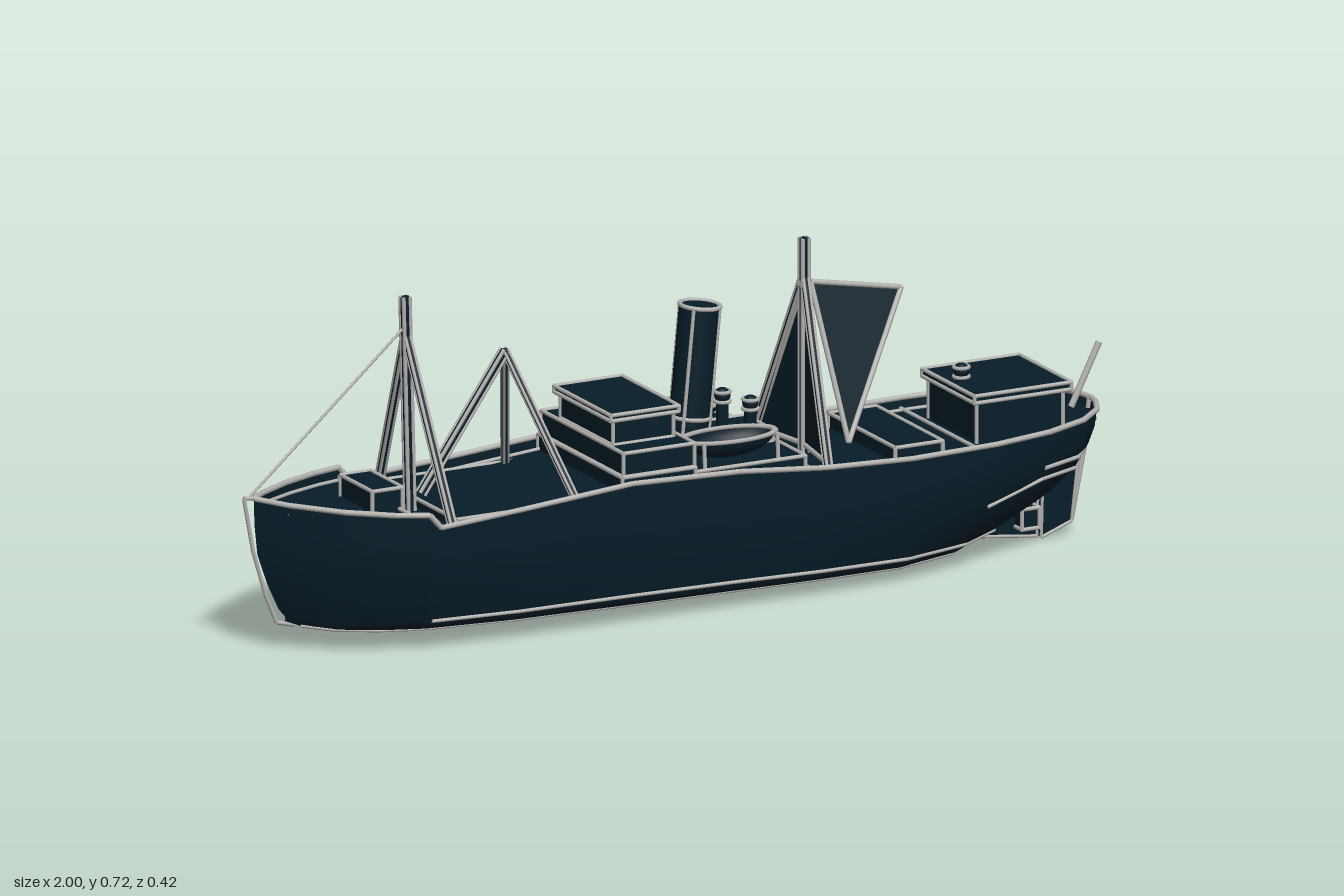
import * as THREE from 'three';

const navy = new THREE.MeshStandardMaterial({ color: 0x071d29, side: THREE.DoubleSide });
navy.name = 'navy paint';
const grey = new THREE.MeshStandardMaterial({ color: 0xb4b3b0 });
grey.name = 'grey trim';

const V = (x, y, z) => new THREE.Vector3(x, y, z);
const lerp = THREE.MathUtils.lerp;

function add(parent, name, geometry, material) {
  const m = new THREE.Mesh(geometry, material);
  m.name = name;
  parent.add(m);
  return m;
}

// Straight round bar between two points
function rod(parent, name, a, b, r = 0.0045, mat = grey, sides = 8) {
  const m = add(parent, name, new THREE.CylinderGeometry(r, r, a.distanceTo(b), sides), mat);
  m.position.copy(a).lerp(b, 0.5);
  m.quaternion.setFromUnitVectors(V(0, 1, 0), b.clone().sub(a).normalize());
  return m;
}

function trim(parent, name, pts, r = 0.0045) {
  const g = new THREE.Group();
  g.name = name;
  for (let i = 1; i < pts.length; i++) rod(g, name, pts[i - 1], pts[i], r);
  parent.add(g);
}

// Navy spar with grey battens along it
function spar(parent, name, a, b, r) {
  const g = new THREE.Group();
  g.name = name;
  rod(g, name + 'Core', a, b, r, navy, 12);
  const q = new THREE.Quaternion().setFromUnitVectors(V(0, 1, 0), b.clone().sub(a).normalize());
  for (let i = 0; i < 4; i++) {
    const t = (i + 0.5) * Math.PI / 2;
    const o = V(Math.cos(t) * r, 0, Math.sin(t) * r).applyQuaternion(q);
    rod(g, name + 'Batten', a.clone().add(o), b.clone().add(o), r * 0.45);
  }
  parent.add(g);
}

// Box with trimmed edges
function framedBox(parent, name, x0, x1, y0, y1, hz, r = 0.0045) {
  const g = new THREE.Group();
  g.name = name;
  add(g, name + 'Body', new THREE.BoxGeometry(x1 - x0, y1 - y0, hz * 2), navy)
    .position.set((x0 + x1) / 2, (y0 + y1) / 2, 0);
  for (const y of [y0, y1])
    trim(g, name + 'Edge', [V(x0, y, hz), V(x1, y, hz), V(x1, y, -hz), V(x0, y, -hz), V(x0, y, hz)], r);
  for (const x of [x0, x1]) for (const z of [-hz, hz]) rod(g, name + 'Corner', V(x, y0, z), V(x, y1, z), r);
  parent.add(g);
}

// Thin triangular panel with bars along its edges
function panel(parent, name, a, b, c) {
  const geo = new THREE.BufferGeometry().setFromPoints([a, b, c]);
  geo.computeVertexNormals();
  add(parent, name, geo, navy);
  trim(parent, name + 'Edge', [a, b, c, a], 0.006);
}

// Flat plate in the centre plane with a trimmed outline
function plate(parent, name, pts, depth) {
  const shape = new THREE.Shape(pts.map(p => new THREE.Vector2(...p)));
  add(parent, name, new THREE.ExtrudeGeometry(shape, { depth, bevelEnabled: false }), navy).position.z = -depth / 2;
  for (const z of [-depth / 2, depth / 2])
    trim(parent, name + 'Edge', [...pts, pts[0]].map(p => V(p[0], p[1], z)), 0.0035);
}

// Round ventilator with ringed head
function ventilator(parent, x, y0, y1) {
  const g = new THREE.Group();
  g.name = 'ventilator';
  rod(g, 'ventPipe', V(x, y0, 0), V(x, y1, 0), 0.013, navy, 12);
  add(g, 'ventHead', new THREE.SphereGeometry(0.017, 12, 8), navy).position.set(x, y1, 0);
  for (const dy of [-0.012, 0.008]) {
    const ring = add(g, 'ventRing', new THREE.TorusGeometry(0.016, 0.004, 6, 16), grey);
    ring.position.set(x, y1 + dy, 0);
    ring.rotation.x = Math.PI / 2;
  }
  parent.add(g);
}

// Hull stations: top x, bottom x, top half width, bottom half width, bottom y, top y
const stations = [
  [-0.972, -0.9, 0.003, 0.003, 0.06, 0.332],
  [-0.92, -0.875, 0.055, 0.025, 0.052, 0.324],
  [-0.83, -0.82, 0.125, 0.075, 0.047, 0.315],
  [-0.74, -0.74, 0.175, 0.12, 0.045, 0.309],
  [-0.67, -0.67, 0.2, 0.145, 0.044, 0.306],
  [-0.645, -0.645, 0.202, 0.15, 0.043, 0.277],
  [-0.45, -0.45, 0.2, 0.17, 0.04, 0.29],
  [-0.2, -0.2, 0.2, 0.175, 0.037, 0.31],
  [0.05, 0.05, 0.2, 0.175, 0.034, 0.302],
  [0.25, 0.25, 0.2, 0.175, 0.031, 0.283],
  [0.45, 0.45, 0.2, 0.165, 0.028, 0.275],
  [0.65, 0.6, 0.197, 0.11, 0.026, 0.278],
  [0.78, 0.69, 0.18, 0.045, 0.03, 0.282],
  [0.88, 0.76, 0.14, 0.015, 0.05, 0.284],
  [0.94, 0.81, 0.085, 0.01, 0.12, 0.285],
  [0.965, 0.84, 0.03, 0.006, 0.17, 0.285],
  [0.97, 0.85, 0.001, 0.001, 0.18, 0.285],
];
// Half section from sheer to bilge: blend of widths, height fraction
const rows = [[1, 1], [0.97, 0.78], [0.88, 0.55], [0.55, 0.3], [0.2, 0.1], [-0.02, 0.03]];
const sidePoint = ([xt, xb, wt, wb, yb, yt], [f, h], s = 1, out = 0) =>
  V(lerp(xb, xt, f), lerp(yb, yt, h), s * (lerp(wb, wt, f) + out));

// Point on a station's side at a given height
function pointAt(st, y, s) {
  const pts = rows.map(r => sidePoint(st, r, s, 0.002));
  const i = pts.findIndex((p, k) => k > 0 && p.y <= y);
  if (i < 0) return pts[rows.length - 1];
  return pts[i].clone().lerp(pts[i - 1], (y - pts[i].y) / (pts[i - 1].y - pts[i].y));
}

function loft(sections) {
  const n = sections[0].length, index = [];
  for (let i = 0; i + 1 < sections.length; i++)
    for (let j = 0; j + 1 < n; j++) {
      const a = i * n + j, b = a + n;
      index.push(a, a + 1, b, b, a + 1, b + 1);
    }
  const geo = new THREE.BufferGeometry().setFromPoints(sections.flat());
  geo.setIndex(index);
  geo.computeVertexNormals();
  return geo;
}

function buildHull(ship) {
  const hull = new THREE.Group();
  hull.name = 'hull';
  ship.add(hull);
  add(hull, 'hullShell', loft(stations.map(s => {
    const left = rows.map(r => sidePoint(s, r));
    const right = rows.map(r => sidePoint(s, r, -1)).reverse();
    const floor = [0.88, 0, -0.88].map(k => V(s[1], s[4], k * s[3]));
    return [...left, ...floor, ...right];
  })), navy);
  add(hull, 'deck', loft(stations.map(s =>
    [-1, 1].map(k => V(s[0], s[5] - 0.022, k * s[2] * 0.99)))), navy);

  // Rails, bilge and stern lines on both sides
  for (const s of [-1, 1]) {
    trim(hull, 'rail', stations.map(p => sidePoint(p, rows[0], s, 0.001)), 0.006);
    trim(hull, 'deckEdge', stations.slice(1, 15).map(p => V(p[0], p[5] - 0.02, s * p[2] * 0.9)), 0.004);
    trim(hull, 'bilgeLine', stations.slice(5, 13).map(p => sidePoint(p, rows[4], s, 0.001)), 0.004);
    trim(hull, 'keelEdge', stations.slice(1, 12).map(p => V(p[1], p[4], s * p[3] * 0.88)), 0.0035);
    trim(hull, 'sternKnuckle', stations.slice(12).map(p => pointAt(p, 0.204, s)));
    trim(hull, 'counterLine', [pointAt(stations[11], 0.14, s), ...stations.slice(12).map(p => pointAt(p, 0.18, s))], 0.004);
  }
  // Deck breaks
  for (const [x, y, w] of [[-0.672, 0.287, 0.195], [-0.645, 0.262, 0.195], [0.25, 0.264, 0.195], [0.63, 0.258, 0.19]])
    rod(hull, 'deckBreak', V(x, y, -w), V(x, y, w));
  // Stem bar standing just ahead of the bow
  trim(hull, 'stemBar', [V(-0.88, 0.05, 0), V(-0.92, 0.06, 0), V(-0.945, 0.12, 0), V(-0.975, 0.22, 0), V(-0.996, 0.335, 0), V(-0.965, 0.332, 0)]);
  // Stern frame, deadwood and rudder
  trim(hull, 'sternFrame', [V(0.925, 0.03, 0), V(0.955, 0.18, 0), V(0.968, 0.285, 0)], 0.006);
  plate(hull, 'deadwood', [[0.66, 0.03], [0.84, 0.008], [0.845, 0.19], [0.7, 0.15]], 0.02);
  plate(hull, 'rudder', [[0.85, 0.004], [0.92, 0.03], [0.94, 0.2], [0.855, 0.2]], 0.022);
  framedBox(hull, 'propellerBlock', 0.79, 0.83, 0.035, 0.078, 0.04);
}

function buildMasts(ship) {
  // Foremast and forestay
  spar(ship, 'foremast', V(-0.61, 0.25, 0), V(-0.622, 0.716, 0), 0.01);
  rod(ship, 'forestay', V(-0.985, 0.335, 0), V(-0.625, 0.65, 0), 0.003);
  // Cargo derrick
  const tip = V(-0.39, 0.57, 0);
  spar(ship, 'derrickBoom', V(-0.585, 0.29, 0), tip, 0.009);
  // Mainmast with plated frame and boom panel
  spar(ship, 'mainmast', V(0.305, 0.25, 0), V(0.305, 0.716, 0), 0.01);
  panel(ship, 'boomPanel', V(0.32, 0.62, 0), V(0.53, 0.58, 0), V(0.35, 0.3, 0.11));
  for (const s of [-1, 1]) {
    spar(ship, 'foremastLeg', V(-0.598, 0.26, s * 0.165), V(-0.62, 0.635, 0), 0.008);
    spar(ship, 'derrickLeg', V(-0.305, 0.27, s * 0.16), tip, 0.007);
    spar(ship, 'mainmastLeg', V(0.275, 0.26, s * 0.165), V(0.305, 0.635, 0), 0.008);
    panel(ship, 'mastPlate', V(0.305, 0.62, 0), V(0.28, 0.275, s * 0.155), V(0.305, 0.275, 0));
  }
  rod(ship, 'flagstaff', V(0.925, 0.27, 0), V(0.99, 0.4, 0), 0.007);
}

function buildUpperworks(ship) {
  framedBox(ship, 'windlass', -0.735, -0.665, 0.28, 0.332, 0.07);
  framedBox(ship, 'foreHatch', -0.59, -0.27, 0.24, 0.277, 0.165);
  // Bridge tiers
  framedBox(ship, 'bridgeDeck', -0.215, -0.045, 0.27, 0.32, 0.185);
  framedBox(ship, 'lowerBridge', -0.21, -0.045, 0.32, 0.37, 0.18);
  framedBox(ship, 'upperBridge', -0.2, -0.06, 0.37, 0.425, 0.115);
  framedBox(ship, 'bridgeRoof', -0.21, -0.052, 0.425, 0.437, 0.125);
  // Boat deck and engine casing
  framedBox(ship, 'boatDeck', -0.045, 0.21, 0.27, 0.31, 0.185);
  framedBox(ship, 'engineCasing', -0.03, 0.2, 0.31, 0.335, 0.06);
  // Funnel
  const base = V(0.035, 0.32, 0), top = V(0.063, 0.605, 0);
  const funnel = new THREE.Group();
  funnel.name = 'funnel';
  ship.add(funnel);
  rod(funnel, 'funnelBody', base, top, 0.043, navy, 24);
  for (const t of [0.18, 1]) {
    const ring = add(funnel, 'funnelRing', new THREE.TorusGeometry(0.042, 0.005, 8, 24), grey);
    ring.position.copy(base).lerp(top, t);
    ring.quaternion.setFromUnitVectors(V(0, 0, 1), top.clone().sub(base).normalize());
  }
  for (const a of [0.25, 0.75, 1.25, 1.75]) {
    const o = V(Math.cos(a * Math.PI) * 0.043, 0, Math.sin(a * Math.PI) * 0.043);
    rod(funnel, 'funnelSeam', base.clone().add(o), top.clone().add(o), 0.004);
  }
  ventilator(ship, 0.115, 0.31, 0.405);
  ventilator(ship, 0.18, 0.31, 0.38);
  // Lifeboats with rims and davits
  for (const s of [-1, 1]) {
    const boat = new THREE.Group();
    boat.name = 'lifeboat';
    boat.position.set(0.065, 0.358, s * 0.12);
    ship.add(boat);
    add(boat, 'boatHull', new THREE.SphereGeometry(1, 24, 8, 0, Math.PI * 2, Math.PI / 2, Math.PI / 2), navy).scale.set(0.105, 0.045, 0.052);
    const rim = add(boat, 'boatRim', new THREE.TorusGeometry(1, 0.08, 6, 32), grey);
    rim.rotation.x = Math.PI / 2;
    rim.scale.set(0.105, 0.052, 0.06);
    for (const x of [-0.02, 0.15]) rod(ship, 'davit', V(x, 0.3, s * 0.18), V(x, 0.365, s * 0.175));
  }
  // Aft hatch and stern house
  framedBox(ship, 'aftHatch', 0.44, 0.55, 0.24, 0.285, 0.145);
  framedBox(ship, 'sternHouse', 0.65, 0.85, 0.25, 0.345, 0.105);
  framedBox(ship, 'sternHouseRoof', 0.64, 0.865, 0.345, 0.36, 0.115);
  ventilator(ship, 0.67, 0.355, 0.382);
}

export function createModel() {
  const ship = new THREE.Group();
  ship.name = 'cargoShip';
  buildHull(ship);
  buildMasts(ship);
  buildUpperworks(ship);
  return ship;
}
